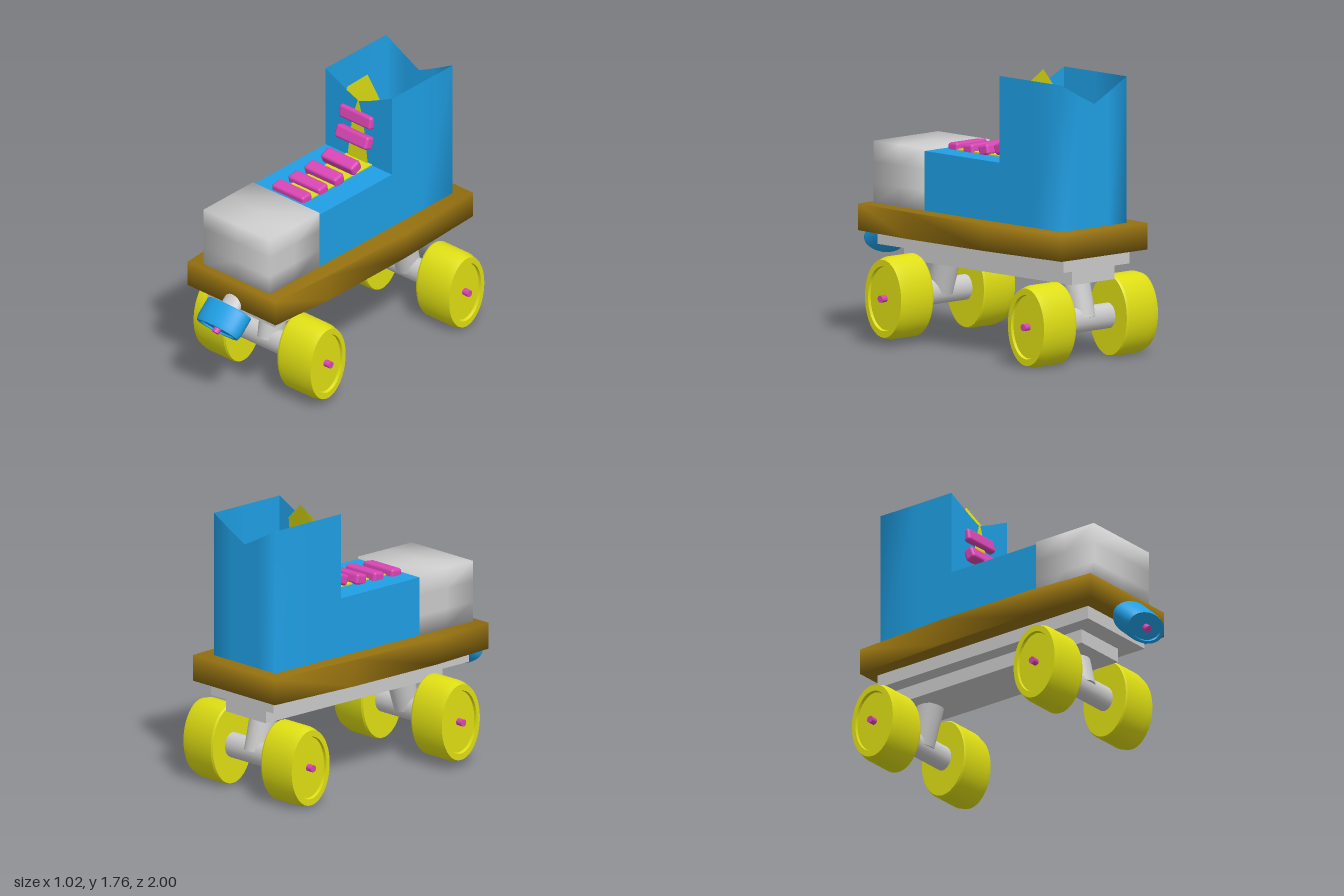
import * as THREE from 'three';
import { mergeVertices, toCreasedNormals } from 'three/addons/utils/BufferGeometryUtils.js';
import { RoundedBoxGeometry } from 'three/addons/geometries/RoundedBoxGeometry.js';

const material = (color) => new THREE.MeshStandardMaterial({ color, side: THREE.DoubleSide });
const GREY = material(0xcccccc);
const BLUE = material(0x1f9fe4);
const YELLOW = material(0xdede14);
const BROWN = material(0x94700f);
const PINK = material(0xd846b4);

function add(parent, name, geometry, mat, x = 0, y = 0, z = 0) {
  const mesh = new THREE.Mesh(geometry, mat);
  mesh.name = name;
  mesh.position.set(x, y, z);
  parent.add(mesh);
  return mesh;
}

// Shared vertices give soft shading across the edges
function soften(geometry) {
  geometry.deleteAttribute('uv');
  geometry.deleteAttribute('normal');
  const g = mergeVertices(geometry, 1e-4);
  g.computeVertexNormals();
  return g;
}

// Vertical wall over a plan line; each point is [x, z, topY]
function wall(points, bottom) {
  const pos = [], index = [];
  points.forEach(([x, z, top], i) => {
    pos.push(x, bottom, z, x, top, z);
    if (i) {
      const a = 2 * i - 2;
      index.push(a, a + 2, a + 3, a, a + 3, a + 1);
    }
  });
  const g = new THREE.BufferGeometry();
  g.setAttribute('position', new THREE.Float32BufferAttribute(pos, 3));
  g.setIndex(index);
  g.computeVertexNormals();
  return g;
}

// Flat convex sheet from 3D corners
function sheet(points) {
  const g = new THREE.BufferGeometry();
  g.setAttribute('position', new THREE.Float32BufferAttribute(points.flat(), 3));
  const index = [];
  for (let i = 1; i < points.length - 1; i++) index.push(0, i, i + 1);
  g.setIndex(index);
  g.computeVertexNormals();
  return g;
}

// Unit disc along +y with a rim and a recessed outer face
function recessedDisc() {
  const profile = [[0, 0], [0.97, 0], [1, 0.05], [1, 0.8], [0.94, 1], [0.78, 1], [0.76, 0.93], [0, 0.93]];
  const g = new THREE.LatheGeometry(profile.map(([r, y]) => new THREE.Vector2(r, y)), 40);
  return toCreasedNormals(g, 0.5);
}

// Cylinder between two points
function rod(parent, name, from, to, r0, r1, mat) {
  const a = new THREE.Vector3(...from), b = new THREE.Vector3(...to);
  const dir = b.clone().sub(a);
  const mesh = add(parent, name, new THREE.CylinderGeometry(r1, r0, dir.length(), 20), mat);
  mesh.position.copy(a).add(b).multiplyScalar(0.5);
  mesh.quaternion.setFromUnitVectors(new THREE.Vector3(0, 1, 0), dir.normalize());
  return mesh;
}

function createSole(parent) {
  const side = [[0.365, -1], [0.4, -0.35], [0.4, 0.33], [0.365, 0.795]];
  const outline = [...side, ...side.map(([x, z]) => [-x, z]).reverse()];
  const shape = new THREE.Shape(outline.map(([x, z]) => new THREE.Vector2(x, -z)));
  const g = new THREE.ExtrudeGeometry(shape, { depth: 0.165, bevelEnabled: false });
  g.rotateX(-Math.PI / 2);
  add(parent, 'sole', soften(g), BROWN, 0, 0.67, 0);
  add(parent, 'upperPlate', new THREE.BoxGeometry(0.56, 0.085, 1.64), GREY, 0, 0.6275, -0.11);
  add(parent, 'lowerPlate', new THREE.BoxGeometry(0.36, 0.09, 1.48), GREY, 0, 0.54, -0.16);
}

function createBoot(parent) {
  const boot = new THREE.Group();
  boot.name = 'boot';
  parent.add(boot);
  const w = 0.275, front = -0.36, back = -0.91, base = 0.83, top = 1.743;
  add(boot, 'toeCap', soften(new THREE.BoxGeometry(0.55, 0.39, 0.45, 2, 3, 2)), GREY, 0, 1.025, 0.525);
  add(boot, 'vamp', new THREE.BoxGeometry(0.55, 0.375, 0.66), BLUE, 0, 1.0175, -0.03);
  // Open ankle shaft, with notches in the front and back rims
  add(boot, 'shaftBack', wall([[w, front, top], [w, -0.63, top], [w, back, top], [0.12, back, 1.66], [0, back, 1.6],
    [-0.12, back, 1.66], [-w, back, top], [-w, -0.63, top], [-w, front, top]], base), BLUE);
  add(boot, 'shaftFront', wall([[-w, front, top], [-0.09, front, 1.655], [0, front, 1.62],
    [0.09, front, 1.655], [w, front, top]], base), BLUE);

  // Tongue: strip along the instep, strip up the shaft, pointed top
  add(boot, 'tongueInstep', new THREE.BoxGeometry(0.21, 0.012, 0.61), YELLOW, 0.005, 1.207, -0.055);
  add(boot, 'tongueFront', sheet([[-0.085, 1.2, -0.35], [0.085, 1.2, -0.35],
    [0.045, 1.5, -0.352], [0, 1.64, -0.355], [-0.045, 1.5, -0.352]]), YELLOW);
  add(boot, 'tongueTop', sheet([[-0.16, 1.5, -0.38], [0.16, 1.5, -0.38],
    [0.14, 1.645, -0.41], [-0.01, 1.765, -0.45], [-0.14, 1.645, -0.41]]), YELLOW);
}

function createLaces(parent) {
  // x, y, z and tilt of each lace
  const laces = [[-0.02, 1.213, 0.225, 0.1], [-0.012, 1.218, 0.085, 0.15], [-0.007, 1.232, -0.055, 0.25],
    [0, 1.26, -0.2, 0.4], [-0.01, 1.375, -0.33, 1.2], [-0.008, 1.508, -0.362, 1.4]];
  for (const [x, y, z, tilt] of laces) {
    const lace = add(parent, 'lace', new RoundedBoxGeometry(0.265, 0.07, 0.085, 3, 0.018), PINK, x, y, z);
    lace.rotation.x = tilt;
  }
}

function createTruck(parent, name, y, z, postZ, ry) {
  const truck = new THREE.Group();
  truck.name = name;
  truck.position.set(0, y, z);
  parent.add(truck);
  const axle = rod(truck, 'axle', [-0.23, 0, 0], [0.23, 0, 0], 0.08, 0.08, GREY);
  axle.scale.z = 0.8;
  rod(truck, 'post', [0, 0, 0], [0, 0.51 - y, postZ - z], 0.08, 0.088, GREY);
  for (const s of [-1, 1]) {
    const g = recessedDisc();
    g.scale(ry, 0.27, 0.17);
    g.rotateZ(-s * Math.PI / 2);
    add(truck, 'wheel', g, YELLOW, s * 0.215, 0, 0);
    rod(truck, 'axlePin', [s * 0.4, 0, 0], [s * 0.51, 0, 0], 0.022, 0.022, PINK);
  }
}

function createToeStop(parent) {
  const stop = new THREE.Group();
  stop.name = 'toeStop';
  stop.position.set(0.008, 0.665, 0.82);
  stop.rotation.x = Math.PI / 2 + 0.735;
  parent.add(stop);
  const g = recessedDisc();
  g.scale(0.168, 0.157, 0.102);
  add(stop, 'stopPad', g, BLUE);
  const stem = rod(stop, 'stopStem', [0, -0.15, 0], [0, 0.02, 0], 0.07, 0.07, GREY);
  stem.scale.z = 0.65;
  rod(stop, 'stopPin', [0, 0.1, 0], [0, 0.178, 0], 0.024, 0.024, PINK);
}

export function createModel() {
  const skate = new THREE.Group();
  skate.name = 'rollerSkate';
  createSole(skate);
  createBoot(skate);
  createLaces(skate);
  createTruck(skate, 'frontTruck', 0.295, 0.45, 0.39, 0.257);
  createTruck(skate, 'rearTruck', 0.257, -0.81, -0.74, 0.255);
  createToeStop(skate);
  return skate;
}
